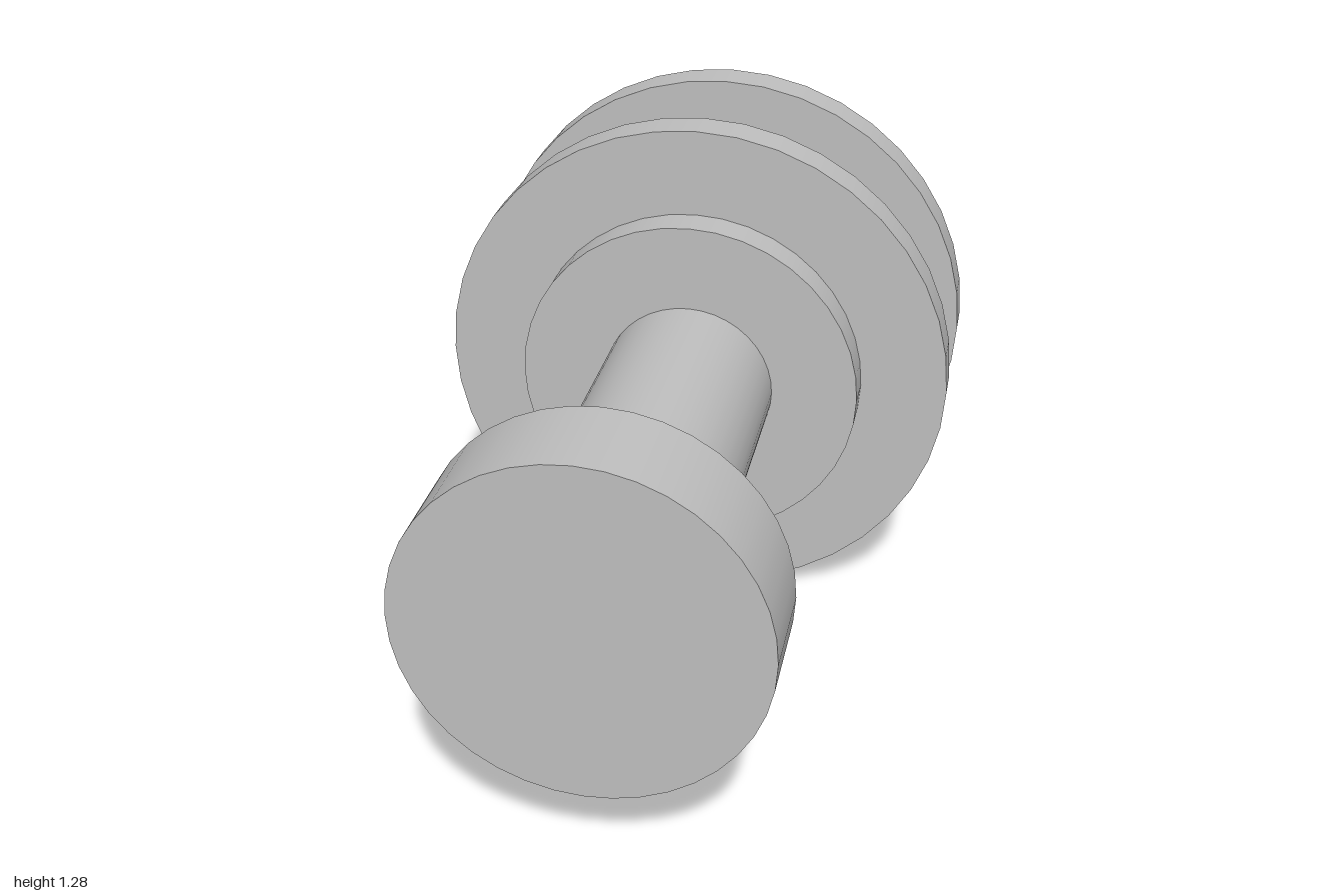
import * as THREE from 'three';

const AXIS_Y = 0.64;

export function createModel() {
  const group = new THREE.Group();
  const steel = new THREE.MeshStandardMaterial({ color: 0xc0c0c0 });
  steel.name = 'steel grey';

  // Solid round or faceted disc lying along z, from zBack to zFront
  function addPart(name, radius, zBack, zFront, sides = 40) {
    const faceted = sides < 12;
    let geometry = new THREE.CylinderGeometry(
      radius, radius, zFront - zBack, sides, 1, false, faceted ? Math.PI / sides : 0);
    geometry.rotateX(Math.PI / 2);
    if (faceted) {
      geometry = geometry.toNonIndexed();
      geometry.computeVertexNormals();
    }
    const mesh = new THREE.Mesh(geometry, steel);
    mesh.name = name;
    mesh.position.set(0, AXIS_Y, (zBack + zFront) / 2);
    group.add(mesh);
  }

  addPart('roundHead', 0.404, 0.767, 1);
  // Shaft in two lengths, either side of the flanges
  addPart('frontShaft', 0.213, -0.09, 0.767);
  addPart('collar', 0.426, -0.178, -0.09);
  addPart('frontFlange', 0.64, -0.275, -0.178);
  addPart('rearShaft', 0.213, -0.555, -0.275);
  addPart('rearFlange', 0.64, -0.653, -0.555);
  // Hexagon with corners pointing left and right
  addPart('hexNut', 0.395, -1, -0.653, 6);

  return group;
}
